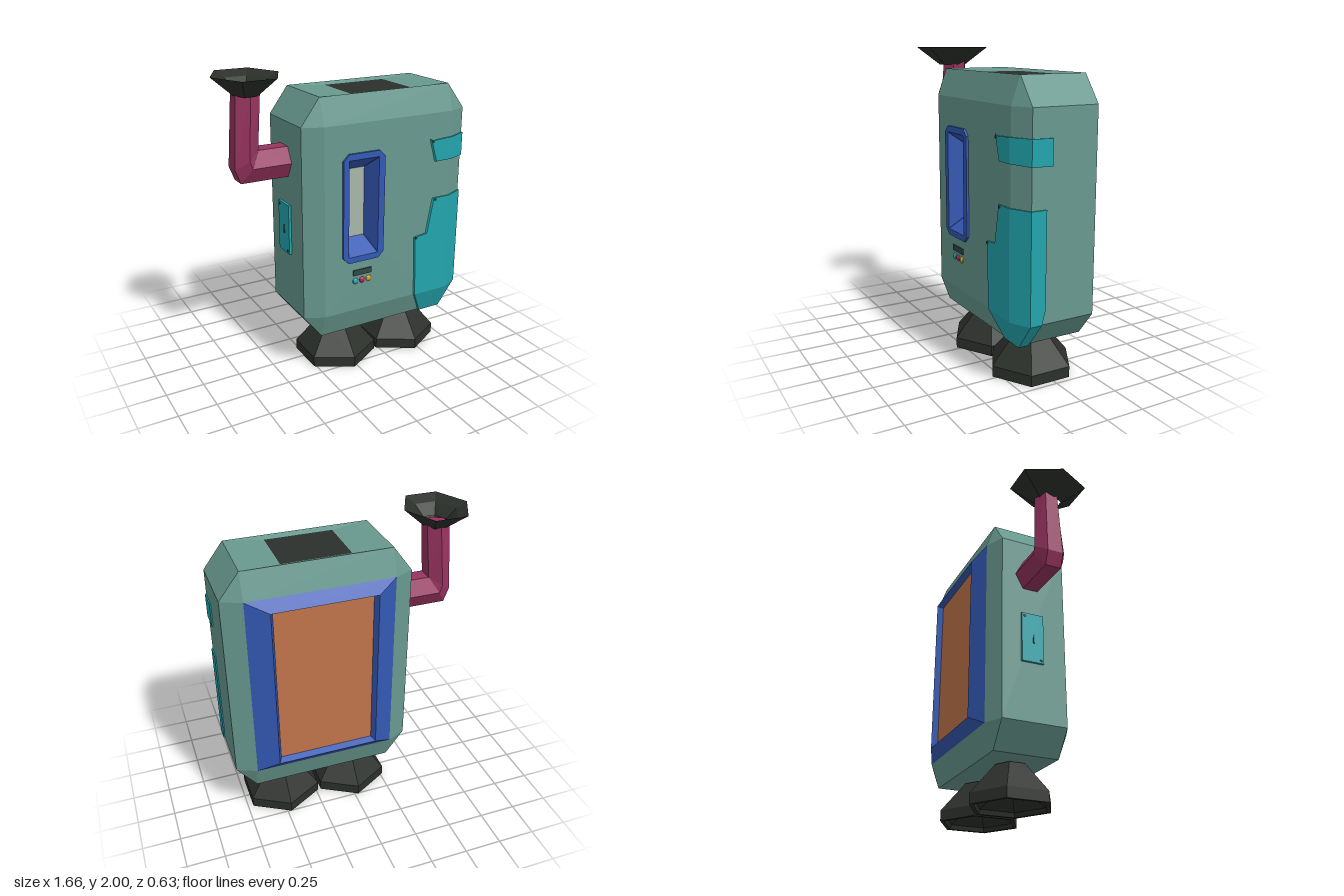
import * as THREE from 'three';

const COLORS = {
  shell: 0x68998f, teal: 0x22a5ad, blue: 0x3459b4, magenta: 0x97335f, dark: 0x2c302b,
  orange: 0xc0754b, glass: 0xa6b8a8, slot: 0x2f4a45, pink: 0xc0246c, yellow: 0xc9a52e,
};
const mats = {};
for (const key in COLORS) {
  mats[key] = new THREE.MeshStandardMaterial({ color: COLORS[key], flatShading: true, side: THREE.DoubleSide });
}

// Joins rings of equal length with flat facets, skipping collapsed ones
function loft(rings, skip = () => false) {
  const pos = [];
  const tri = (a, b, c) => {
    const n = new THREE.Vector3().crossVectors(
      new THREE.Vector3(b[0] - a[0], b[1] - a[1], b[2] - a[2]),
      new THREE.Vector3(c[0] - a[0], c[1] - a[1], c[2] - a[2]));
    if (n.length() > 1e-8) pos.push(...a, ...b, ...c);
  };
  for (let r = 0; r < rings.length - 1; r++) {
    const lo = rings[r], hi = rings[r + 1];
    for (let i = 0; i < lo.length; i++) {
      if (skip(r, i)) continue;
      const j = (i + 1) % lo.length;
      tri(lo[i], lo[j], hi[j]);
      tri(lo[i], hi[j], hi[i]);
    }
  }
  const g = new THREE.BufferGeometry();
  g.setAttribute('position', new THREE.Float32BufferAttribute(pos, 3));
  g.computeVertexNormals();
  return g;
}
const collapse = (ring) => ring.map(() => ring[0]);

// Upright rectangle and bevelled rectangle at depth z
const rect = (x0, x1, y0, y1, z) => [[x0, y0, z], [x1, y0, z], [x1, y1, z], [x0, y1, z]];
const octagon = (x0, x1, y0, y1, c, z) => [
  [x0 + c, y0, z], [x1 - c, y0, z], [x1, y0 + c, z], [x1, y1 - c, z],
  [x1 - c, y1, z], [x0 + c, y1, z], [x0, y1 - c, z], [x0, y0 + c, z]];

// Level ring of the shell; outer and inner limits in x and z
const shellRing = (y, xo, xi, zo, zi) => [
  [xi[0], y, zo[1]], [xi[1], y, zo[1]], [xo[1], y, zi[1]], [xo[1], y, zi[0]],
  [xi[1], y, zo[0]], [xi[0], y, zo[0]], [xo[0], y, zi[0]], [xo[0], y, zi[1]]];

// Thin armour facet with its rim sunk towards the shell
function plate(loop) {
  const c = new THREE.Vector3(0.22, 0, 0.02), n = new THREE.Vector3(), mid = new THREE.Vector3();
  loop.forEach((p, i) => {
    const q = loop[(i + 1) % loop.length];
    n.add(new THREE.Vector3(...p).cross(new THREE.Vector3(...q)));
    mid.add(new THREE.Vector3(p[0] - c.x, 0, p[2] - c.z));
  });
  const outer = n.dot(mid) < 0 ? [loop[0], ...loop.slice(1).reverse()] : loop;
  const inner = outer.map(([x, y, z]) => [c.x + (x - c.x) * 0.95, y, c.z + (z - c.z) * 0.93]);
  return loft([inner, outer, collapse(outer)]);
}

// Six-sided arm section between an inner and an outer point in the xy plane
function hexRing([ix, iy], [ox, oy], w) {
  return Array.from({ length: 6 }, (_, k) => {
    const a = Math.PI / 6 + k * Math.PI / 3, s = Math.cos(a) / Math.cos(Math.PI / 6);
    return [(ix + ox) / 2 + (ix - ox) / 2 * s, (iy + oy) / 2 + (iy - oy) / 2 * s, -w * Math.sin(a)];
  });
}
const hexLathe = (pts) => new THREE.LatheGeometry(pts.map((p) => new THREE.Vector2(...p)), 6);

export function createModel() {
  const root = new THREE.Group();
  const add = (name, geometry, mat, x = 0, y = 0, z = 0, parent = root) => {
    const m = new THREE.Mesh(geometry, mats[mat]);
    m.name = name;
    m.position.set(x, y, z);
    parent.add(m);
    return m;
  };
  const group = (name) => {
    const g = new THREE.Group();
    g.name = name;
    root.add(g);
    return g;
  };

  // Bevelled shell, with a shallow dish on top
  const xo = [-0.375, 0.82], xi = [-0.25, 0.69], zo = [-0.257, 0.3], zi = [-0.2, 0.24];
  const bottom = shellRing(0.275, xi, xi, zi, zi);
  add('shell', loft([
    collapse(bottom), bottom,
    shellRing(0.44, xo, xi, zo, zi), shellRing(1.7, xo, xi, zo, zi),
    shellRing(1.87, xi, xi, zi, zi),
    shellRing(1.855, [0, 0.44], [0, 0.44], [-0.16, 0.2], [-0.16, 0.2]),
  ], (r, i) => r === 2 && i === 0), 'shell');
  add('shellFront', loft([rect(-0.25, 0.69, 0.44, 1.7, 0.3), rect(-0.1, 0.15, 0.815, 1.49, 0.3)]), 'shell');
  add('topHatch', new THREE.PlaneGeometry(0.44, 0.36).rotateX(-Math.PI / 2), 'dark', 0.22, 1.855, 0.02);

  // Front window with a deep sloped surround
  add('windowFrame', loft([
    octagon(-0.125, 0.175, 0.79, 1.515, 0.04, 0.295), octagon(-0.125, 0.175, 0.79, 1.515, 0.04, 0.315),
    octagon(-0.085, 0.13, 0.83, 1.475, 0.003, 0.315), octagon(-0.05, 0.095, 0.92, 1.385, 0.002, 0.19),
  ]), 'blue');
  add('windowPane', new THREE.PlaneGeometry(0.145, 0.465), 'glass', 0.0225, 1.1525, 0.191);

  // Slot and buttons
  add('slot', new THREE.BoxGeometry(0.137, 0.038, 0.02), 'slot', 0.023, 0.71, 0.298);
  ['teal', 'pink', 'yellow'].forEach((c, i) =>
    add('button', new THREE.SphereGeometry(0.021, 12, 8).scale(1, 1, 0.6), c, -0.028 + i * 0.05, 0.651, 0.301));

  // Rear screen in a raised frame
  add('rearFrame', loft([
    rect(0.69, -0.25, 0.44, 1.7, -0.257), rect(0.55, -0.12, 0.51, 1.63, -0.315),
    rect(0.53, -0.1, 0.53, 1.61, -0.275),
  ]), 'blue');
  add('rearScreen', new THREE.PlaneGeometry(0.63, 1.08).rotateY(Math.PI), 'orange', 0.215, 1.07, -0.275);

  // Armour wrapped round the left front edge
  const F = 0.31, S = 0.245, X = 0.695, W = 0.828;
  const upper = group('upperArmour'), lower = group('lowerArmour');
  [
    [[X, 1.38, F], [0.575, 1.378, F], [0.53, 1.53, F], [0.56, 1.522, F], [X, 1.53, F]],
    [[X, 1.38, F], [W, 1.373, S], [W, 1.53, S], [X, 1.53, F]],
    [[W, 1.373, S], [W, 1.37, 0.106], [W, 1.527, 0.106], [W, 1.53, S]],
  ].forEach((loop) => add('armourPanel', plate(loop), 'teal', 0, 0, 0, upper));
  [
    [[X, 0.44, F], [0.445, 0.44, F], [0.43, 0.87, F], [0.525, 0.88, F], [0.57, 1.125, F], [X, 1.125, F]],
    [[X, 0.44, F], [W, 0.44, S], [W, 1.125, S], [X, 1.125, F]],
    [[W, 0.44, S], [W, 0.44, 0.165], [W, 0.53, 0.142], [W, 1.125, 0.142], [W, 1.125, S]],
    [[X, 0.44, F], [0.445, 0.44, F], [0.535, 0.268, S], [0.7, 0.268, S]],
    [[X, 0.44, F], [0.7, 0.268, S], [W, 0.44, S]],
    [[W, 0.44, S], [0.7, 0.268, S], [0.7, 0.268, 0.175], [W, 0.44, 0.165]],
  ].forEach((loop) => add('armourPanel', plate(loop), 'teal', 0, 0, 0, lower));
  const screw = new THREE.CylinderGeometry(0.009, 0.009, 0.012, 8).rotateX(Math.PI / 2);
  for (const [x, y] of [[0.542, 1.515], [0.436, 0.863], [0.582, 1.113]]) add('screw', screw, 'slot', x, y, 0.31);

  // Small door on the right side
  add('sideDoor', new THREE.BoxGeometry(0.02, 0.335, 0.15), 'teal', -0.382, 0.9975, 0.005);
  add('doorHandle', new THREE.BoxGeometry(0.01, 0.06, 0.01), 'slot', -0.391, 0.99, 0.01);
  for (const [y, z] of [[1.145, -0.05], [0.85, 0.06]]) {
    add('screw', screw, 'slot', -0.39, y, z).rotation.y = Math.PI / 2;
  }

  // Bent arm and its cupped hand
  const wrist = hexRing([-0.54, 1.9], [-0.695, 1.9], 0.083);
  add('arm', loft([
    hexRing([-0.37, 1.545], [-0.37, 1.35], 0.105), hexRing([-0.57, 1.545], [-0.69, 1.35], 0.105),
    hexRing([-0.57, 1.55], [-0.725, 1.44], 0.105), wrist, collapse(wrist),
  ]), 'magenta');
  add('hand', hexLathe([[0.078, 1.88], [0.215, 2], [0.145, 1.965], [0.08, 1.9]])
    .rotateY(Math.PI / 2).scale(1, 1, 1.195), 'dark', -0.62, 0, 0.015);

  // Hollow six-sided feet
  for (const x of [-0.025, 0.475]) {
    add('foot', hexLathe([[0, 0.1], [0.13, 0.1], [0.24, 0.03], [0.25, 0], [0.277, 0], [0.277, 0.07],
      [0.108, 0.268], [0, 0.268]]), 'dark', x, 0, 0.0225);
  }
  return root;
}
